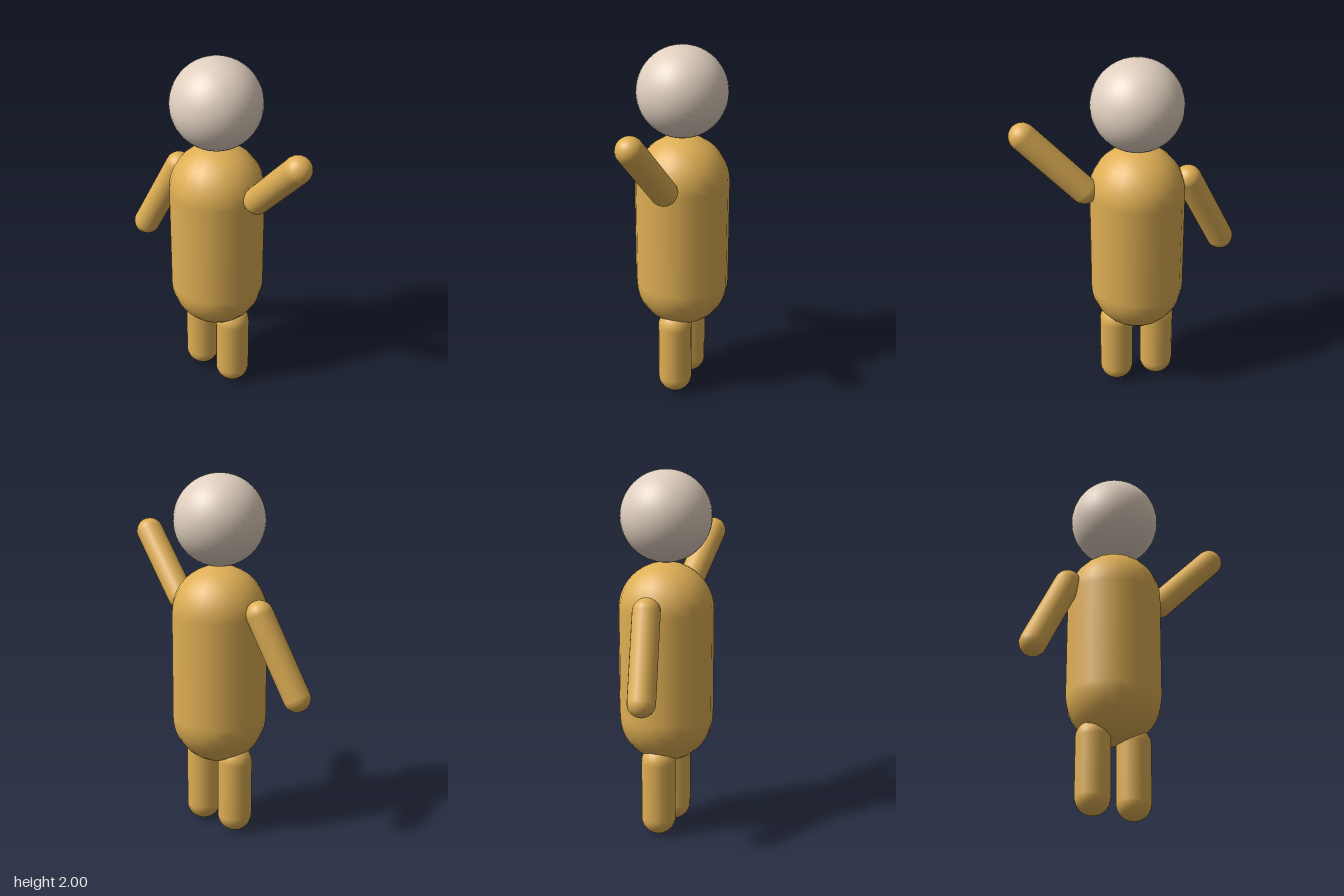
import * as THREE from 'three';

export function createModel() {
  const model = new THREE.Group();
  model.name = 'wavingFigure';

  const gold = new THREE.MeshStandardMaterial({ color: 0xdeae54 });
  gold.name = 'gold';
  const paleSkin = new THREE.MeshStandardMaterial({ color: 0xe0cfbf });
  paleSkin.name = 'paleSkin';

  const centreX = -0.05;
  const up = new THREE.Vector3(0, 1, 0);

  // Capsule whose round ends are centred on the two given points
  function capsule(name, from, to, radius) {
    const a = new THREE.Vector3(...from);
    const b = new THREE.Vector3(...to);
    const axis = b.clone().sub(a);
    const geometry = new THREE.CapsuleGeometry(radius, axis.length(), 10, 20);
    const mesh = new THREE.Mesh(geometry, gold);
    mesh.name = name;
    mesh.position.copy(a).add(b).multiplyScalar(0.5);
    mesh.quaternion.setFromUnitVectors(up, axis.normalize());
    model.add(mesh);
  }

  // Head
  const head = new THREE.Mesh(new THREE.SphereGeometry(0.247, 40, 28), paleSkin);
  head.name = 'head';
  head.position.set(centreX, 1.753, 0);
  model.add(head);

  // Body
  capsule('body', [centreX, 0.66, 0], [centreX, 1.25, 0], 0.26);

  // Legs
  for (const [name, side] of [['leftLeg', 1], ['rightLeg', -1]]) {
    const x = centreX + side * 0.119;
    capsule(name, [x, 0.095, 0], [x, 0.415, 0], 0.095);
  }

  // Arms: the left one raised, the right one hanging outwards
  capsule('leftArm', [0.24, 1.288, 0], [0.546, 1.61, 0.06], 0.075);
  capsule('rightArm', [-0.55, 0.86, 0.058], [-0.336, 1.288, 0], 0.075);

  return model;
}
